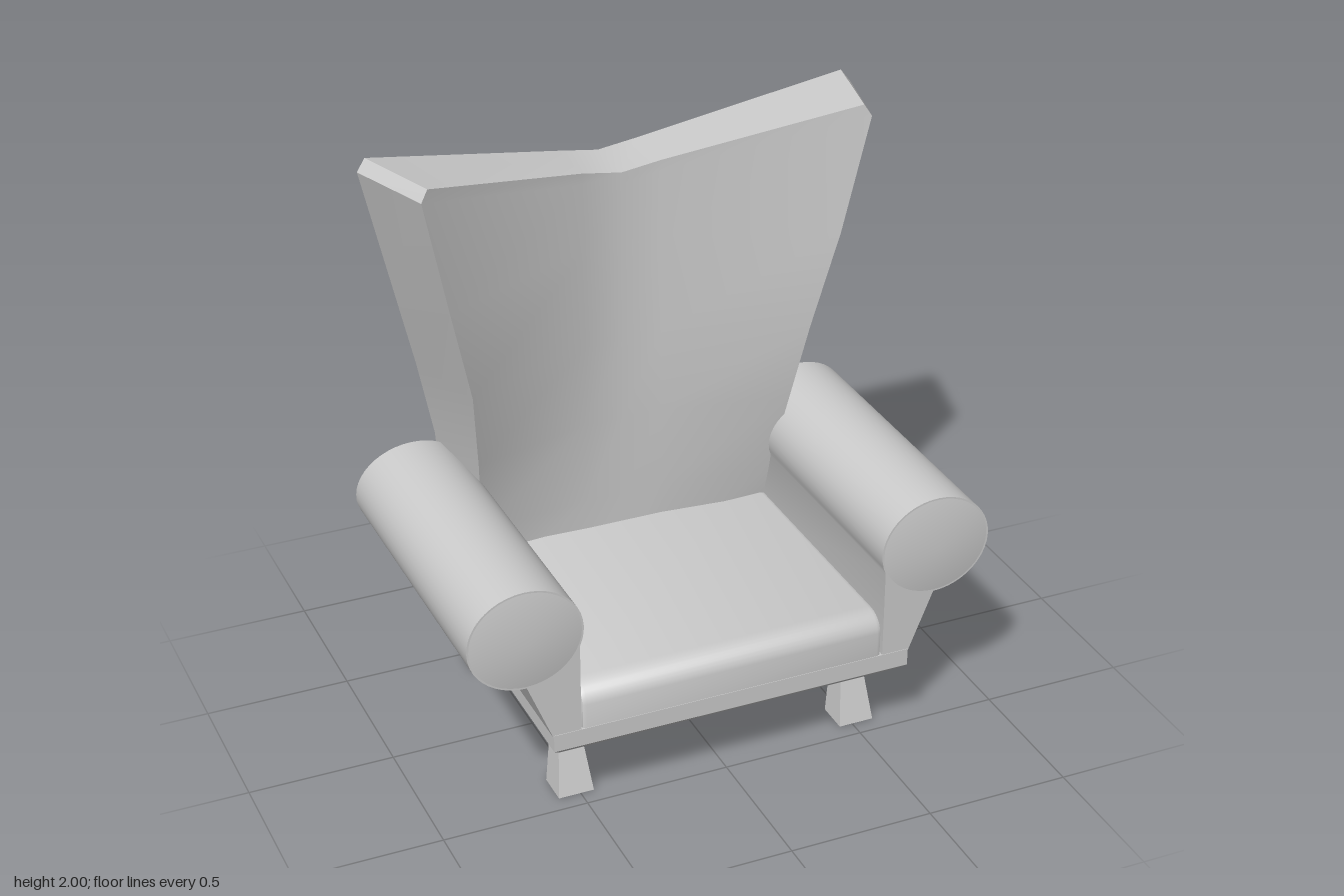
import * as THREE from 'three';
import { toCreasedNormals } from 'three/addons/utils/BufferGeometryUtils.js';

const material = new THREE.MeshStandardMaterial({ color: 0xcccccc });

function addMesh(group, name, geometry, crease = 0.6) {
  const mesh = new THREE.Mesh(toCreasedNormals(geometry, crease), material);
  mesh.name = name;
  group.add(mesh);
  return mesh;
}

// Skin a stack of rings (bottom to top). Each ring runs along the front from
// -x to +x, then along the rear back to -x; both ends are closed with strips.
function loft(rings) {
  const n = rings[0].length, last = (rings.length - 1) * n, index = [];
  for (let r = 0; r < rings.length - 1; r++) {
    for (let j = 0; j < n; j++) {
      const a = r * n + j, b = r * n + (j + 1) % n;
      index.push(a, b, b + n, a, b + n, a + n);
    }
  }
  for (let i = 0; i < n / 2 - 1; i++) {
    const f = i, g = i + 1, h = n - 2 - i, k = n - 1 - i;
    index.push(last + f, last + g, last + h, last + f, last + h, last + k);
    index.push(f, h, g, f, k, h);
  }
  const geometry = new THREE.BufferGeometry();
  geometry.setAttribute('position', new THREE.Float32BufferAttribute(rings.flat(2), 3));
  geometry.setIndex(index);
  return geometry;
}

// Horizontal rectangle used as a loft ring
const rect = (y, x0, x1, z0, z1) => [[x0, y, z1], [x1, y, z1], [x1, y, z0], [x0, y, z0]];

// Winged backrest: bent slab, widening and curling forward towards the top
function backrest() {
  // y, front edge x and z, rear edge x and z, extra rearward turn of the +x wing
  const rows = [
    [0.33, 0.52, -0.38, 0.58, -0.57, 0],
    [0.6, 0.54, -0.33, 0.6, -0.55, 0],
    [0.9, 0.575, -0.24, 0.63, -0.52, 0.02],
    [1.2, 0.615, -0.16, 0.7, -0.475, 0.035],
    [1.55, 0.7, -0.105, 0.79, -0.43, 0.055],
    [1.96, 0.79, -0.07, 0.895, -0.38, 0.075],
    [2, 0.765, -0.08, 0.865, -0.39, 0.075],
  ];
  const rings = rows.map(([y, fx, fz, bx, bz, turn], r) => {
    const dip = r > 4 ? 1 : 0;
    const yFold = y - 0.17 * dip, yMid = y - 0.19 * dip;
    const fold = 0.14, zf = -0.365, zb = -0.572;
    return [
      [-fx, y, fz], [-fold, yFold, zf], [0, yMid, zf], [fold, yFold, zf],
      [fx + turn * 0.15, y, fz - turn],
      [bx - turn * 0.25, y, bz - turn],
      [fold, yFold, zb], [0, yMid, zb], [-fold, yFold, zb], [-bx, y, bz],
    ];
  });
  return loft(rings);
}

// Scroll arm: rolled top on a tapering support, rear end sloped with the back
function arm(side) {
  const points = [[0.54, 0.33], [0.635, 0.33]];
  const steps = 36;
  for (let i = 0; i <= steps; i++) {
    const a = THREE.MathUtils.degToRad(-90 + (292 * i) / steps);
    points.push([0.722 + 0.196 * Math.cos(a), 0.722 + 0.177 * Math.sin(a)]);
  }
  const shape = new THREE.Shape(points.map(([x, y]) => new THREE.Vector2(side * x, y)));
  const geometry = new THREE.ExtrudeGeometry(shape, { depth: 1, bevelEnabled: false });
  const p = geometry.attributes.position;
  for (let i = 0; i < p.count; i++) {
    const rise = THREE.MathUtils.clamp((p.getY(i) - 0.5) / 0.4, 0, 1);
    p.setZ(i, p.getZ(i) > 0.5 ? 0.558 : -0.57 + 0.08 * rise);
  }
  return geometry;
}

export function createModel() {
  const chair = new THREE.Group();
  chair.name = 'wingArmchair';

  // Base frame with chamfered lower edge
  addMesh(chair, 'baseFrame', loft([
    rect(0.25, -0.605, 0.605, -0.555, 0.53),
    rect(0.278, -0.635, 0.635, -0.585, 0.56),
    rect(0.34, -0.635, 0.635, -0.585, 0.56),
  ]));

  // Seat cushion with rounded front edge
  const profile = new THREE.Shape();
  profile.moveTo(0.45, 0.3);
  profile.lineTo(-0.54, 0.3);
  profile.lineTo(-0.54, 0.425);
  profile.quadraticCurveTo(-0.53, 0.472, -0.475, 0.472);
  profile.lineTo(0.45, 0.472);
  const seat = new THREE.ExtrudeGeometry(profile, {
    depth: 1.04, bevelThickness: 0.018, bevelSize: 0.018, bevelSegments: 2, curveSegments: 8,
  });
  seat.rotateY(Math.PI / 2).translate(-0.52, 0, 0);
  addMesh(chair, 'seatCushion', seat);

  addMesh(chair, 'backrest', backrest(), 0.7);

  for (const side of [-1, 1]) {
    const label = side > 0 ? 'left' : 'right';
    addMesh(chair, label + 'Arm', arm(side));

    // Slightly domed front of the arm roll
    const cap = new THREE.ConeGeometry(1, 0.03, 40, 1, true);
    cap.rotateX(Math.PI / 2).scale(0.196, 0.177, 1).translate(side * 0.722, 0.722, 0.572);
    addMesh(chair, label + 'ArmFront', cap);

    // Tapered legs, the front pair splayed forward
    const legX = (y, half) => [y, side * 0.515 - half, side * 0.515 + half];
    addMesh(chair, label + 'FrontLeg', loft([
      rect(...legX(0, 0.062), 0.325, 0.44),
      rect(...legX(0.26, 0.033), 0.31, 0.375),
    ]));
    addMesh(chair, label + 'RearLeg', loft([
      rect(...legX(0, 0.062), -0.495, -0.38),
      rect(...legX(0.26, 0.033), -0.47, -0.4),
    ]));
  }
  return chair;
}
